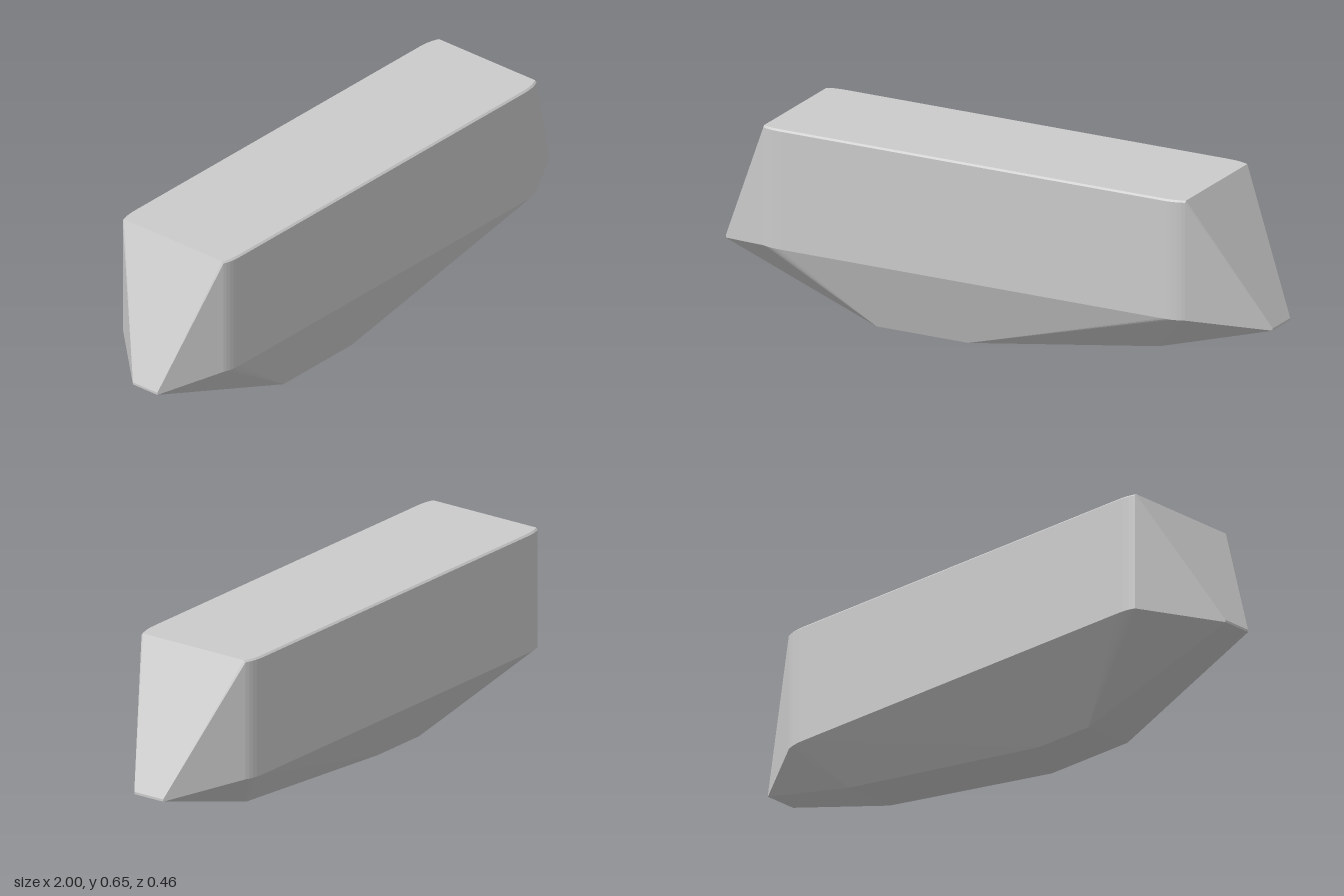
import * as THREE from 'three';
import { ConvexGeometry } from 'three/addons/geometries/ConvexGeometry.js';

const V = (x, y, z) => new THREE.Vector3(x, y, z);

// Rounded vertical corner, sampled in plan from the long side to the end
function cornerPlan(start, control, end) {
  return new THREE.QuadraticBezierCurve(
    new THREE.Vector2(...start), new THREE.Vector2(...control), new THREE.Vector2(...end)
  ).getPoints(5);
}

export function createModel() {
  const group = new THREE.Group();
  group.name = 'facetedBlock';
  const points = [];

  // Upright body: belt, shoulder and slightly bevelled top edge
  const plan = [
    ...cornerPlan([0.68, 0.228], [0.73, 0.228], [0.76, 0.212]),
    ...cornerPlan([-0.73, 0.228], [-0.775, 0.228], [-0.8, 0.216]),
  ];
  for (const side of [1, -1]) {
    for (const p of plan) {
      points.push(V(p.x, 0.237, side * p.y));
      points.push(V(p.x, 0.642, side * p.y));
      points.push(V(p.x, 0.648, side * (p.y - 0.006)));
    }
  }

  // Blunt tips at both ends
  for (const y of [0.196, 0.204]) {
    points.push(V(1, y, 0.059), V(1, y, -0.059));
    points.push(V(-1, y, 0.105), V(-1, y, 0));
  }

  // Keel: rising step towards the left end, and the flat base
  points.push(V(0.6, 0.087, 0.095), V(0.6, 0.087, -0.095));
  points.push(V(-0.42, 0, 0.145), V(-0.08, 0, 0.145));
  points.push(V(-0.41, 0, -0.029), V(-0.19, 0, -0.029));

  const block = new THREE.Mesh(
    new ConvexGeometry(points),
    new THREE.MeshStandardMaterial({ color: 0xcccccc, flatShading: true })
  );
  block.name = 'block';
  group.add(block);
  return group;
}
